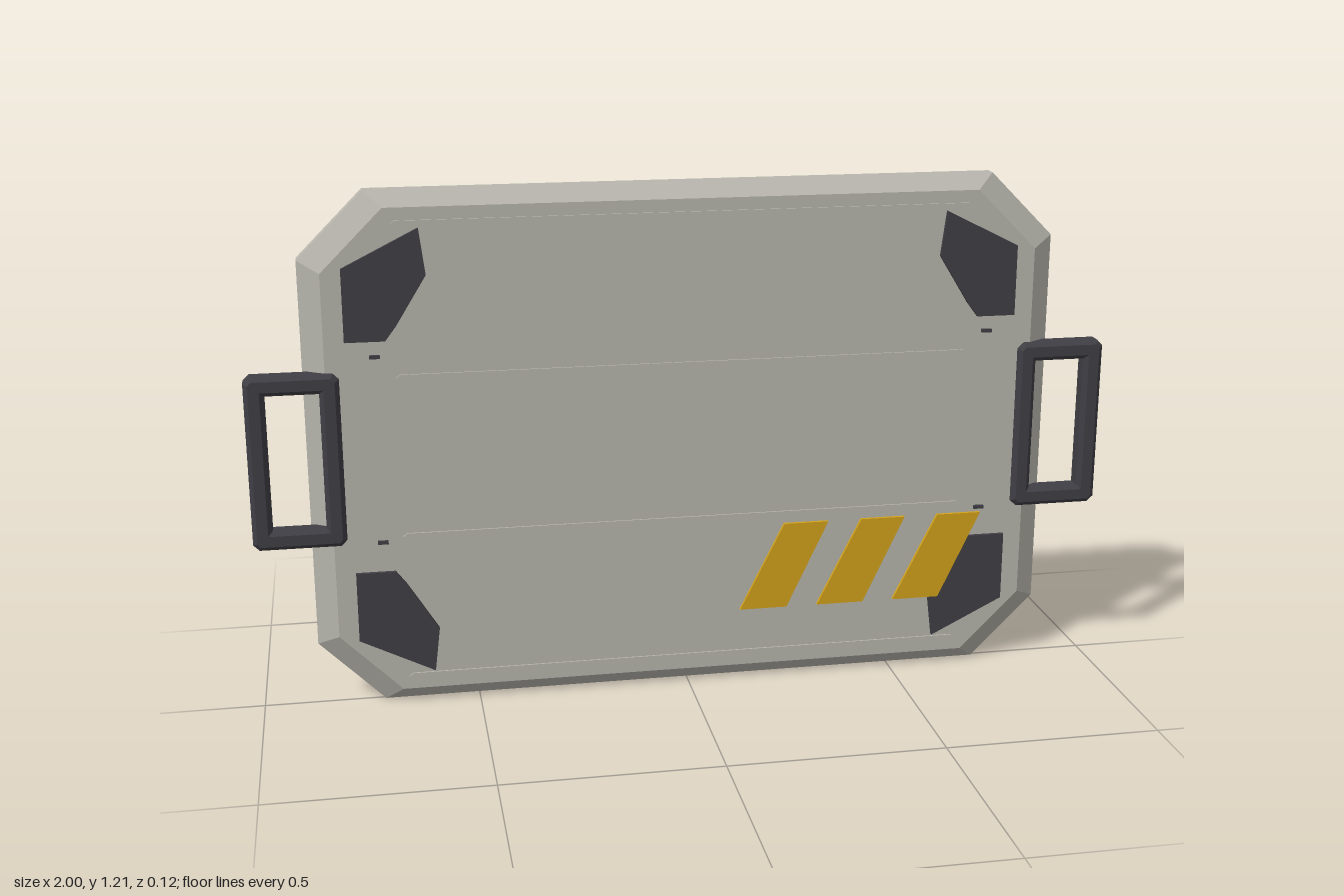
import * as THREE from 'three';

const MID = 0.6025; // height of the horizontal symmetry line

function material(name, color, side = THREE.FrontSide) {
  const m = new THREE.MeshStandardMaterial({ color, side });
  m.name = name;
  return m;
}

// Path tracing a rectangle with cut corners
function cutRect(path, x0, y0, x1, y1, c) {
  path.moveTo(x0 + c, y0);
  [[x1 - c, y0], [x1, y0 + c], [x1, y1 - c], [x1 - c, y1], [x0 + c, y1], [x0, y1 - c], [x0, y0 + c]]
    .forEach(([x, y]) => path.lineTo(x, y));
  path.closePath();
  return path;
}

// Flat plate extruded from z0 to z1
function plate(name, points, z0, z1, mat) {
  const shape = new THREE.Shape(points.map(([x, y]) => new THREE.Vector2(x, y)));
  const geo = new THREE.ExtrudeGeometry(shape, { depth: z1 - z0, bevelEnabled: false });
  geo.translate(0, 0, z0);
  const mesh = new THREE.Mesh(geo, mat);
  mesh.name = name;
  return mesh;
}

// Slab lofted through scaled octagon sections
function slabGeometry() {
  const ring = [[0.72, -MID], [0.87, -0.4525], [0.87, 0.4525], [0.72, MID],
    [-0.72, MID], [-0.87, 0.4525], [-0.87, -0.4525], [-0.72, -MID]];
  const sections = [[-0.058, 0.943], [-0.025, 1], [0.007, 1], [0.04, 0.943]];
  const at = (s, i) => {
    const [z, k] = sections[s], [x, y] = ring[i % 8];
    return [x * k, y * k + MID, z];
  };
  const pos = [];
  for (let s = 0; s < 3; s++) {
    for (let i = 0; i < 8; i++) {
      const a = at(s, i), b = at(s, i + 1), c = at(s + 1, i + 1), d = at(s + 1, i);
      pos.push(...a, ...b, ...c, ...a, ...c, ...d);
    }
  }
  for (let i = 1; i < 7; i++) {
    pos.push(...at(3, 0), ...at(3, i), ...at(3, i + 1));
    pos.push(...at(0, 0), ...at(0, i + 1), ...at(0, i));
  }
  const geo = new THREE.BufferGeometry();
  geo.setAttribute('position', new THREE.Float32BufferAttribute(pos, 3));
  geo.computeVertexNormals();
  return geo;
}

export function createModel() {
  const group = new THREE.Group();
  group.name = 'armourPanel';
  const grey = material('warm grey', 0xb8b6ad);
  const dark = material('charcoal', 0x403f45);
  const yellow = material('hazard yellow', 0xd3a31c);

  // Bevelled slab
  const slab = new THREE.Mesh(slabGeometry(), grey);
  slab.name = 'slab';
  group.add(slab);

  // Side handles: chamfered rectangular frames
  const frame = cutRect(new THREE.Shape(), 0.8, 0.41, 0.99, 0.795, 0.008);
  frame.holes.push(cutRect(new THREE.Path(), 0.825, 0.435, 0.965, 0.77, 0.001));
  const handleGeo = new THREE.ExtrudeGeometry(frame, {
    depth: 0.03, bevelEnabled: true, bevelSegments: 1, bevelSize: 0.01, bevelThickness: 0.01,
  });
  handleGeo.translate(0, 0, 0.014);
  for (const side of [-1, 1]) {
    const handle = new THREE.Mesh(handleGeo, dark);
    handle.name = side > 0 ? 'leftHandle' : 'rightHandle';
    if (side < 0) {
      // mirrored by a half turn about the handle's own mid plane
      handle.rotation.y = Math.PI;
      handle.position.z = 0.058;
    }
    group.add(handle);
  }

  // Corner plates, mirrored in x and y
  const corner = [[0.775, 0.272], [0.775, 0.437], [0.603, 0.523], [0.59, 0.418], [0.66, 0.305], [0.685, 0.272]];
  for (const sx of [-1, 1]) {
    for (const sy of [-1, 1]) {
      const pts = corner.map(([x, y]) => [x * sx, MID + y * sy]);
      group.add(plate('cornerPlate', pts, 0.036, 0.049, dark));
      // small dark tick at the inner end of each trim line
      const tx = sx * 0.71, ty = MID + sy * 0.236 - (sy < 0 ? -0.034 : 0) * 1;
      const y = sy > 0 ? ty : 0.402;
      group.add(plate('trimTick', [[tx - 0.012, y - 0.004], [tx + 0.012, y - 0.004],
        [tx + 0.012, y + 0.004], [tx - 0.012, y + 0.004]], 0.036, 0.047, dark));
    }
  }

  // Thin raised trim lines around the two front fields
  for (const y of [0.07, 0.416, 0.791, 1.138]) {
    const h = 0.004;
    group.add(plate('trimLine', [[-0.665, y - h], [0.665, y - h], [0.655, y + h], [-0.655, y + h]],
      0.036, 0.044, grey));
  }

  // Slanted warning stripes
  for (let i = 0; i < 3; i++) {
    const x = 0.122 + i * 0.188;
    group.add(plate('warningStripe', [[x, 0.183], [x + 0.113, 0.183], [x + 0.212, 0.393], [x + 0.105, 0.393]],
      0.05, 0.058, yellow));
  }
  return group;
}
